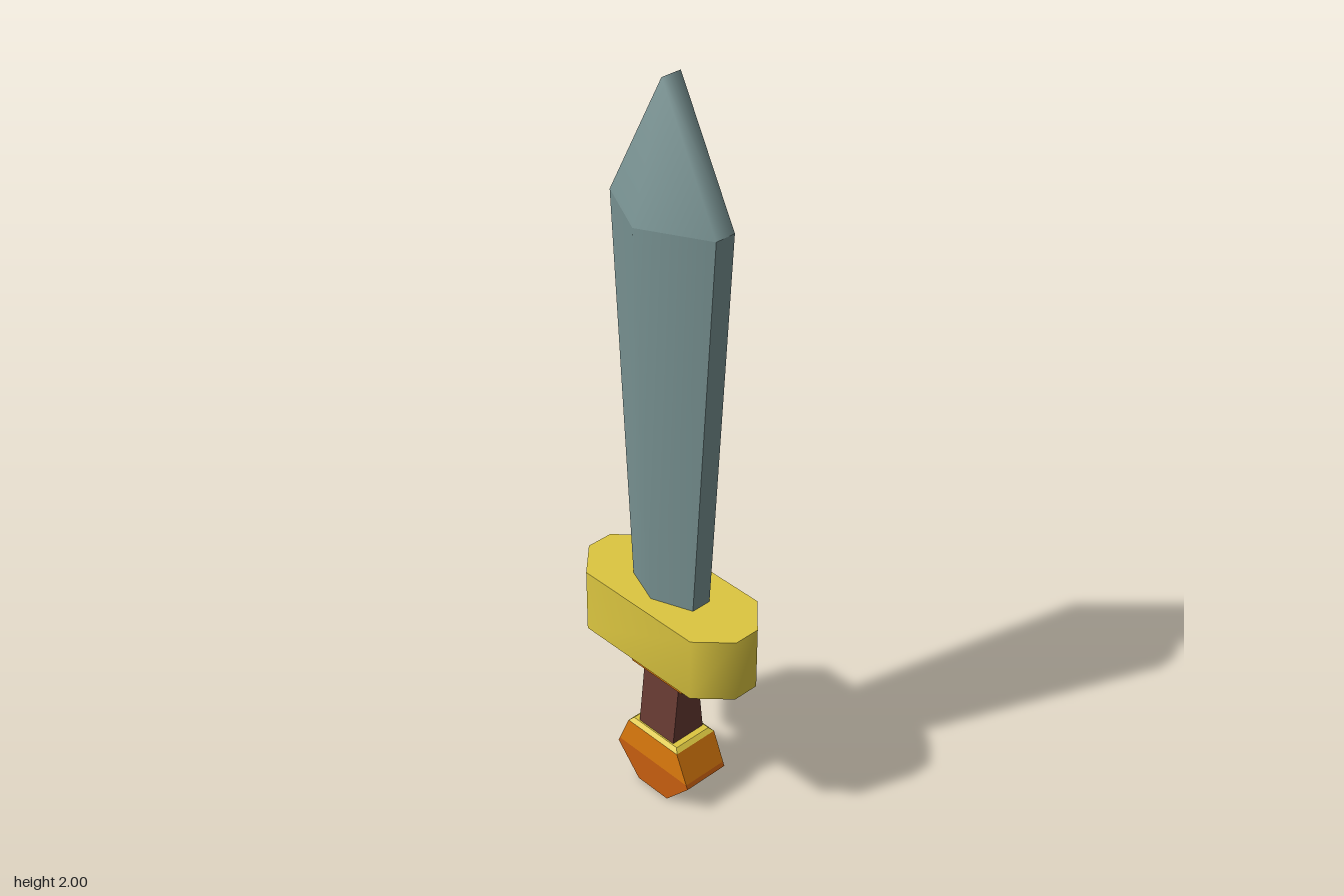
import * as THREE from 'three';
import { toCreasedNormals } from 'three/addons/utils/BufferGeometryUtils.js';

const material = (name, color) => {
  const m = new THREE.MeshStandardMaterial({ color });
  m.name = name;
  return m;
};

// Plan outlines, counter-clockwise seen from above, as [x, z]
const rect = (x, z) => [[x, z], [x, -z], [-x, -z], [-x, z]];
const hexagon = (x, edge, ridge) =>
  [[x, edge], [x, -edge], [0, -ridge], [-x, -edge], [-x, edge], [0, ridge]];
const octagon = (x, z, cx, cz) =>
  [[x, cz], [x, -cz], [cx, -z], [-cx, -z], [-x, -cz], [-x, cz], [-cx, z], [cx, z]];

// Closed solid through a stack of [y, outline] sections, listed bottom to top
function loft(sections, crease = 0.1) {
  const pos = [], index = [];
  const n = sections[0][1].length;
  for (const [y, outline] of sections) for (const [x, z] of outline) pos.push(x, y, z);
  for (let s = 0; s < sections.length - 1; s++) {
    for (let i = 0; i < n; i++) {
      const a = s * n + i, b = s * n + (i + 1) % n;
      index.push(a, b, b + n, a, b + n, a + n);
    }
  }
  const top = (sections.length - 1) * n;
  for (let i = 1; i < n - 1; i++) {
    index.push(0, i + 1, i);
    index.push(top, top + i, top + i + 1);
  }
  const g = new THREE.BufferGeometry();
  g.setAttribute('position', new THREE.Float32BufferAttribute(pos, 3));
  g.setIndex(index);
  return toCreasedNormals(g, crease);
}

// Chisel point: smooth faces around one side, one crisp bevel on the other
function bladePoint(y0, y1, x, edge, ridge) {
  const g = new THREE.BufferGeometry();
  g.setAttribute('position', new THREE.Float32BufferAttribute([
    0, y1, edge, 0, y1, -edge,
    -x, y0, edge, 0, y0, ridge, x, y0, edge,
    x, y0, -edge, 0, y0, -ridge, -x, y0, -edge,
    0, y1, edge, 0, y1, -edge, -x, y0, edge, -x, y0, -edge,
  ], 3));
  g.setIndex([
    0, 2, 3, 0, 3, 4,
    0, 4, 5, 0, 5, 1,
    1, 5, 6, 1, 6, 7,
    8, 9, 11, 8, 11, 10,
  ]);
  g.computeVertexNormals();
  return g;
}

export function createModel() {
  const steel = material('steel', 0x789292);
  const gold = material('gold', 0xdcc640);
  const orange = material('orange', 0xdf7c0e);
  const darkOrange = material('darkOrange', 0xc95f10);
  const leather = material('leather', 0x683b33);

  const sword = new THREE.Group();
  sword.name = 'sword';
  const add = (name, geometry, mat) => {
    const mesh = new THREE.Mesh(geometry, mat);
    mesh.name = name;
    sword.add(mesh);
  };

  // Blade, widening upward to the shoulder of the point
  add('blade', loft([
    [0.62, hexagon(0.106, 0.028, 0.068)],
    [1.675, hexagon(0.17, 0.028, 0.115)],
  ], 1.01), steel);
  add('bladePoint', bladePoint(1.675, 2, 0.17, 0.028, 0.115), steel);

  // Cross guard
  const guardPlan = octagon(0.265, 0.114, 0.187, 0.036);
  add('guard', loft([[0.455, guardPlan], [0.632, guardPlan]], 0.9), gold);

  // Collar under the guard
  add('collar', loft([
    [0.355, rect(0.08, 0.038)],
    [0.37, rect(0.09, 0.05)],
    [0.457, rect(0.131, 0.066)],
  ]), orange);

  // Grip, thicker towards the pommel
  add('grip', loft([[0.18, rect(0.063, 0.053)], [0.36, rect(0.063, 0.034)]]), leather);

  // Pommel: dark base, bright upper half and gold rim
  add('pommelBase', loft([
    [0, rect(0.054, 0.066)],
    [0.083, rect(0.131, 0.066)],
    [0.095, rect(0.126, 0.066)],
  ]), darkOrange);
  add('pommelTop', loft([[0.095, rect(0.126, 0.066)], [0.178, rect(0.091, 0.066)]]), orange);
  add('pommelRim', loft([[0.178, rect(0.091, 0.066)], [0.188, rect(0.08, 0.056)]]), gold);

  return sword;
}
